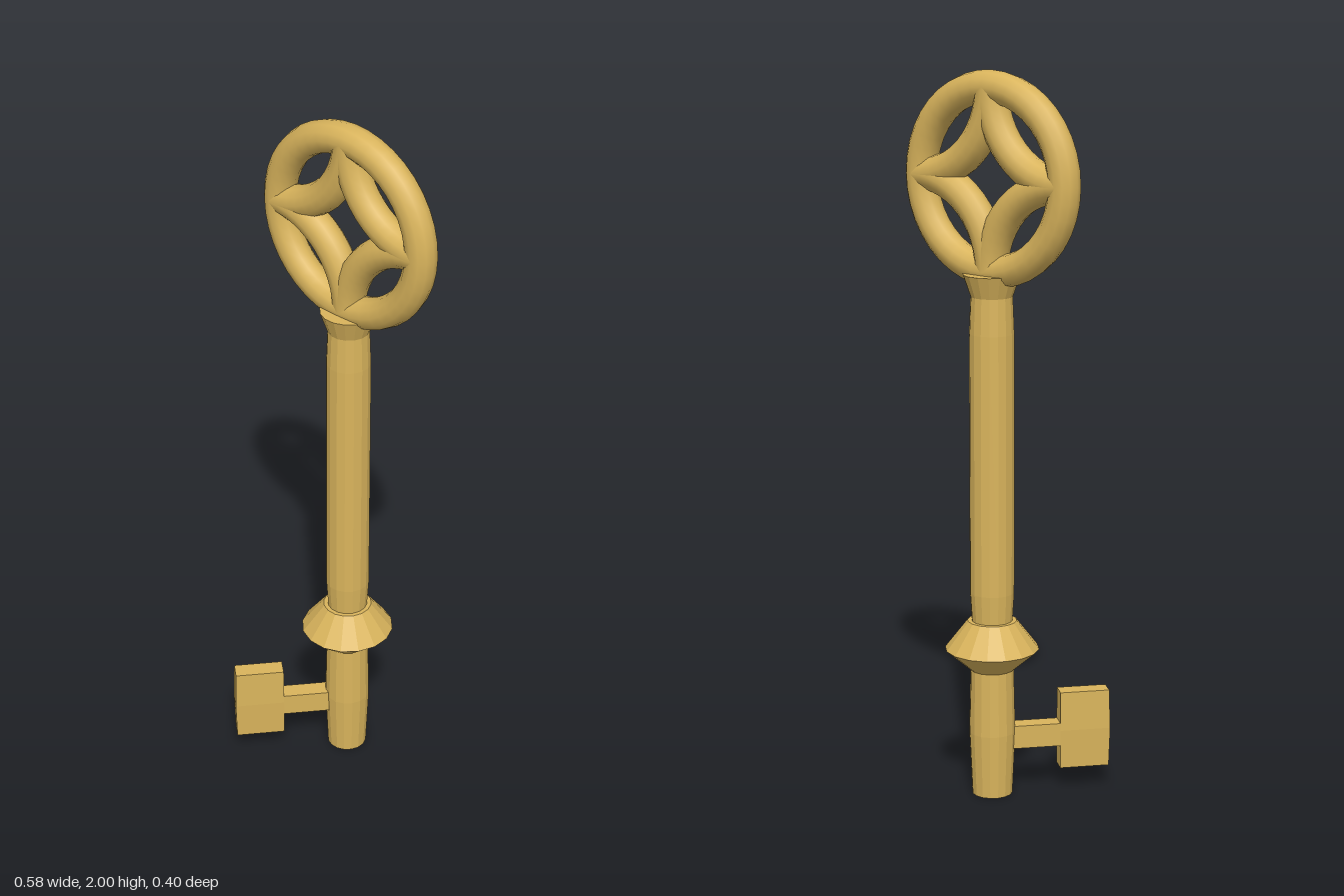
import * as THREE from 'three';

const GOLD = 0xd9b45c;
const AXIS_Z = -0.07;   // shaft axis
const RING_Y = 1.712;   // centre of the bow
const RING_R = 0.244;

export function createModel() {
  const key = new THREE.Group();
  key.name = 'key';
  const smooth = new THREE.MeshStandardMaterial({ color: GOLD });
  const faceted = new THREE.MeshStandardMaterial({ color: GOLD, flatShading: true });

  const add = (parent, name, geometry, material) => {
    const mesh = new THREE.Mesh(geometry, material);
    mesh.name = name;
    parent.add(mesh);
    return mesh;
  };

  // Turned parts: profiles of [radius, height], sixteen sides
  const turned = (name, profile) => {
    const points = profile.map(([r, y]) => new THREE.Vector2(r, y));
    const mesh = add(key, name, new THREE.LatheGeometry(points, 16, Math.PI / 16), faceted);
    mesh.position.z = AXIS_Z;
  };
  turned('shaft', [[0.056, 0.5], [0.061, 0.58], [0.061, 1.3], [0.057, 1.4]]);
  turned('collar', [[0.057, 1.4], [0.078, 1.46], [0, 1.46]]);
  turned('knob', [[0.06, 0.36], [0.13, 0.42], [0.068, 0.5], [0, 0.5]]);
  turned('tip', [[0, 0], [0.056, 0], [0.064, 0.18], [0.06, 0.36]]);

  // Bow: outer ring with four inward-curving arcs
  const bow = new THREE.Group();
  bow.name = 'bow';
  bow.position.set(0, RING_Y, AXIS_Z);
  key.add(bow);
  add(bow, 'ring', new THREE.TorusGeometry(RING_R, 0.044, 12, 40), smooth);
  const arc = new THREE.TorusGeometry(RING_R, 0.045, 12, 12, Math.PI / 2);
  for (let i = 0; i < 4; i++) {
    const mesh = add(bow, 'bowArc', arc, smooth);
    const a = i * Math.PI / 2;
    mesh.rotation.z = a;
    mesh.position.set(
      -RING_R * (Math.cos(a) - Math.sin(a)),
      -RING_R * (Math.sin(a) + Math.cos(a)), 0);
  }

  // Bit: a stem and a plate pointing forward and to the right
  const bit = new THREE.Group();
  bit.name = 'bit';
  bit.position.set(0, 0, AXIS_Z);
  bit.rotation.y = -0.698;
  key.add(bit);
  add(bit, 'bitStem', new THREE.BoxGeometry(0.05, 0.065, 0.17), faceted).position.set(0, 0.163, 0.115);

  // The plate swells slightly at mid height
  const plate = new THREE.BoxGeometry(0.05, 0.22, 0.138, 1, 2, 1);
  const p = plate.attributes.position;
  for (let i = 0; i < p.count; i++) {
    if (Math.abs(p.getY(i)) < 0.01) {
      p.setX(i, p.getX(i) * 1.12);
      if (p.getZ(i) > 0) p.setZ(i, p.getZ(i) + 0.003);
    }
  }
  plate.computeVertexNormals();
  add(bit, 'bitPlate', plate, faceted).position.set(0, 0.175, 0.257);

  return key;
}
